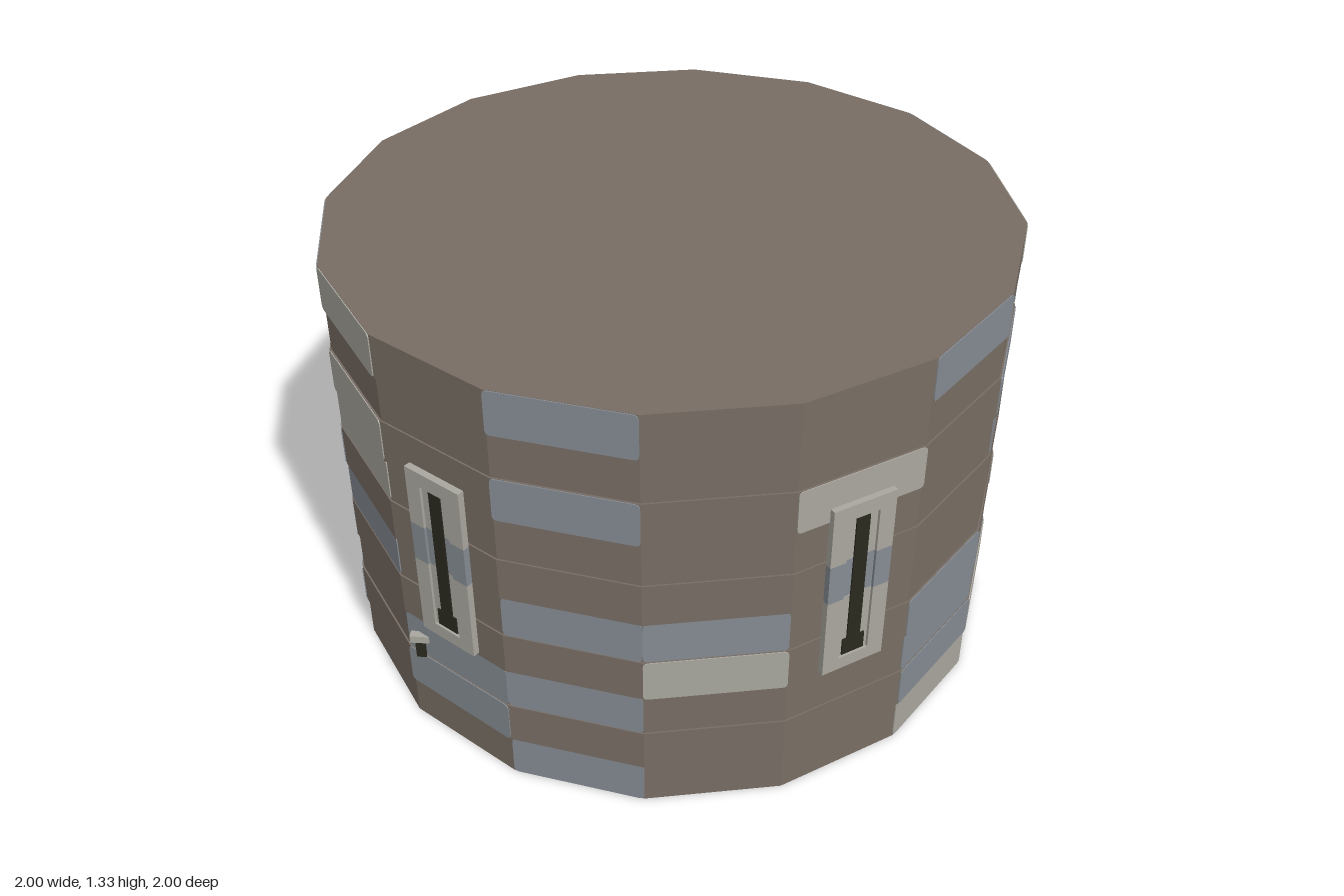
import * as THREE from 'three';

const SIDES = 16, COURSES = 10, HEIGHT = 1.33, RADIUS = 0.997;
const STEP = (Math.PI * 2) / SIDES;
const ROW = HEIGHT / COURSES;

// Stone pattern, top course first; one letter per wall side, counted from +x towards +z.
// b = blue stone, l = light stone, . = plain wall
const PATTERN = [
  '.b..b.lb......bl',
  '..........b....b',
  'b.l.b.l.b...bl..',
  'b.....ll..l...b.',
  '.......b...l....',
  '...bb.b...b.l.b.',
  '.b.l....l....b.l',
  'bb..bb.....bb.b.',
  'lb...b.b...l...b',
  '.l..b.....b...b.',
];

function material(name, color) {
  const m = new THREE.MeshStandardMaterial({ color });
  m.name = name;
  return m;
}

function roundedRect(w, h, r) {
  const s = new THREE.Shape(), x = w / 2, y = h / 2;
  s.moveTo(-x + r, -y).lineTo(x - r, -y).quadraticCurveTo(x, -y, x, -y + r);
  s.lineTo(x, y - r).quadraticCurveTo(x, y, x - r, y);
  s.lineTo(-x + r, y).quadraticCurveTo(-x, y, -x, y - r);
  s.lineTo(-x, -y + r).quadraticCurveTo(-x, -y, -x + r, -y);
  return s;
}

export function createModel() {
  const brown = material('brownStone', 0x786d64);
  const light = material('lightStone', 0xa9a79f);
  const blue = material('blueStone', 0x858c93);
  const dark = material('darkIron', 0x29291f);

  const model = new THREE.Group();
  model.name = 'roundTower';

  function add(parent, name, geometry, mat, x = 0, y = 0, z = 0) {
    const mesh = new THREE.Mesh(geometry, mat);
    mesh.name = name;
    mesh.position.set(x, y, z);
    parent.add(mesh);
    return mesh;
  }
  const box = (parent, name, mat, w, h, d, x, y, z) =>
    add(parent, name, new THREE.BoxGeometry(w, h, d), mat, x, y, z);

  // Group standing on the wall at an angle, its +z pointing outwards
  function wallGroup(name, angle, distance) {
    const g = new THREE.Group();
    g.name = name;
    g.position.set(Math.cos(angle) * distance, 0, Math.sin(angle) * distance);
    g.rotation.y = Math.PI / 2 - angle;
    model.add(g);
    return g;
  }

  // Wall courses, every other one slightly set back, with coloured stones on their flats
  PATTERN.forEach((line, i) => {
    const radius = RADIUS - (i % 2) * 0.005;
    const y = HEIGHT - (i + 0.5) * ROW;
    const drum = new THREE.CylinderGeometry(radius, radius, ROW, SIDES).toNonIndexed();
    drum.computeVertexNormals();
    add(model, 'wallCourse', drum, brown, 0, y, 0);

    const apothem = radius * Math.cos(STEP / 2);
    const width = 2 * radius * Math.sin(STEP / 2);
    const plate = new THREE.ExtrudeGeometry(roundedRect(width, ROW - 0.002, 0.014),
      { depth: 0.003, bevelEnabled: false, curveSegments: 3 });
    [...line].forEach((c, k) => {
      if (c === '.') return;
      const g = wallGroup('stone', (k + 0.5) * STEP, apothem);
      add(g, c === 'b' ? 'blueBlock' : 'lightBlock', plate, c === 'b' ? blue : light, 0, y, 0);
    });
  });

  // Two arrow-slit windows at the front
  const face = RADIUS * Math.cos(STEP / 2);
  for (const k of [2, 5]) {
    const g = wallGroup('arrowSlit', (k + 0.5) * STEP, face);
    box(g, 'backPanelTop', light, 0.11, 0.14, 0.012, 0, 0.86, 0.006);
    box(g, 'backPanelMiddle', blue, 0.11, 0.125, 0.012, 0, 0.7275, 0.006);
    box(g, 'backPanelBottom', light, 0.11, 0.22, 0.012, 0, 0.555, 0.006);
    for (const s of [-1, 1]) {
      box(g, 'jambTop', light, 0.05, 0.14, 0.02, s * 0.072, 0.86, 0.01);
      box(g, 'jambMiddle', blue, 0.05, 0.125, 0.02, s * 0.072, 0.7275, 0.01);
      box(g, 'jambBottom', light, 0.05, 0.215, 0.02, s * 0.072, 0.5575, 0.01);
    }
    box(g, 'lintel', light, 0.194, 0.046, 0.02, 0, 0.952, 0.01);
    box(g, 'sill', light, 0.194, 0.04, 0.02, 0, 0.43, 0.01);
    box(g, 'slit', dark, 0.042, 0.465, 0.004, 0, 0.69, 0.014);
    box(g, 'slitFoot', dark, 0.07, 0.055, 0.004, 0, 0.482, 0.0145);
  }

  // Small lanterns hanging from light brackets: x, z, outward z direction
  for (const [x, z, dir] of [[-0.66, 0.735, 1], [-0.735, -0.7, -1], [0.61, -0.808, -1]]) {
    const g = new THREE.Group();
    g.name = 'lantern';
    g.position.set(x, 0, z);
    model.add(g);
    const front = dir > 0;
    box(g, 'lanternBody', dark, front ? 0.028 : 0.055, 0.06, 0.03, 0, 0.294, front ? 0 : -0.004);
    box(g, 'lanternBracket', light, 0.056, 0.024, 0.024,
      front ? 0 : 0.01, 0.332, front ? 0.005 : 0.022);
  }

  // Short stone pegs on the back of the wall: angle in degrees and height
  for (const [deg, y] of [[325, 1.055], [205, 0.5]]) {
    const g = wallGroup('peg', THREE.MathUtils.degToRad(deg), 0.99);
    box(g, 'pegStone', brown, 0.035, 0.025, 0.08, 0, y, 0);
  }

  return model;
}
